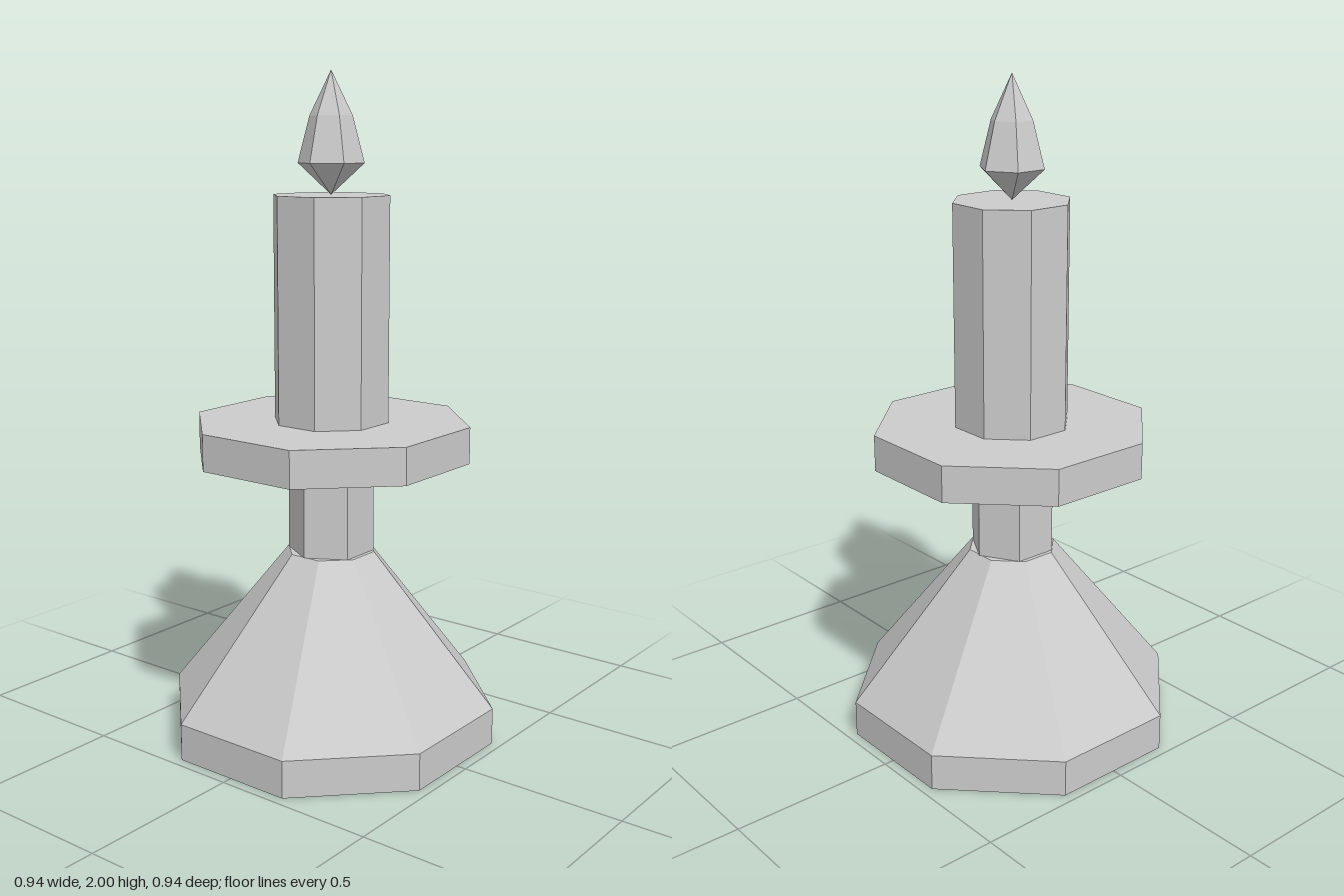
import * as THREE from 'three';

const material = new THREE.MeshStandardMaterial({ color: 0xcccccc, flatShading: true });

// Turns a profile of [apothem or radius, y] pairs, bottom to top, into a faceted solid.
function turned(name, sides, profile, scale = 1) {
  const points = profile.map(([r, y]) => new THREE.Vector2(r * scale, y));
  const geometry = new THREE.LatheGeometry(points, sides, Math.PI / sides);
  const mesh = new THREE.Mesh(geometry, material);
  mesh.name = name;
  return mesh;
}

// Octagons are measured across the flats, hexagons across the corners.
const octagonal = (name, profile) => turned(name, 8, profile, 1 / Math.cos(Math.PI / 8));
const hexagonal = (name, profile) => turned(name, 6, profile);

export function createModel() {
  const model = new THREE.Group();
  model.name = 'candlestick';
  model.add(
    // Plinth with a tapering foot
    octagonal('base', [[0, 0], [0.47, 0], [0.47, 0.112], [0.125, 0.578], [0, 0.578]]),
    // Short neck between foot and tray
    hexagonal('stem', [[0, 0.578], [0.13, 0.578], [0.13, 0.803], [0, 0.803]]),
    // Drip tray with sloping underside
    octagonal('dripTray', [[0, 0.803], [0.122, 0.803], [0.39, 0.87], [0.39, 0.98], [0, 0.98]]),
    octagonal('candle', [[0, 0.98], [0.163, 0.98], [0.163, 1.647], [0, 1.647]]),
    // Pointed flame balanced on its lower tip
    hexagonal('flame', [[0, 1.647], [0.098, 1.738], [0.063, 1.872], [0, 2]]),
  );
  return model;
}
